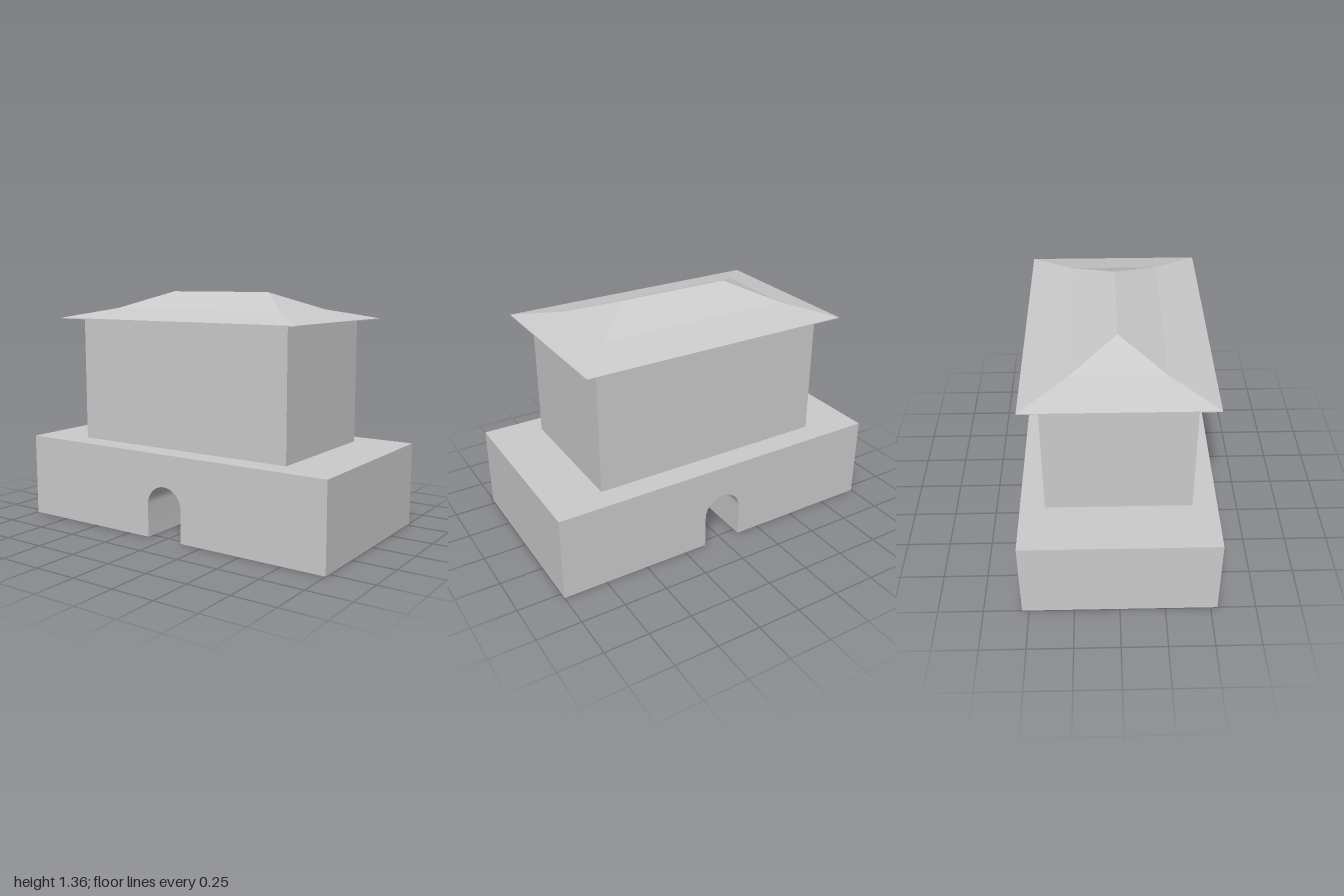
import * as THREE from 'three';
import { toCreasedNormals } from 'three/addons/utils/BufferGeometryUtils.js';

const grey = new THREE.MeshStandardMaterial({ color: 0xcccccc });

function addMesh(group, name, geometry) {
  const mesh = new THREE.Mesh(geometry, grey);
  mesh.name = name;
  group.add(mesh);
  return mesh;
}

// Podium block pierced front to back by a round-arched passage
function podiumGeometry() {
  const halfW = 1, height = 0.485, depth = 1.076, r = 0.114, spring = 0.188;
  const s = new THREE.Shape();
  s.moveTo(-halfW, 0);
  s.lineTo(-r, 0);
  s.lineTo(-r, spring);
  s.absarc(0, spring, r, Math.PI, 0, true);
  s.lineTo(r, 0);
  s.lineTo(halfW, 0);
  s.lineTo(halfW, height);
  s.lineTo(-halfW, height);
  s.closePath();
  const g = new THREE.ExtrudeGeometry(s, { depth, bevelEnabled: false, curveSegments: 16 });
  g.translate(0, 0, -depth / 2);
  return toCreasedNormals(g, 0.5);
}

// Flared hip roof: rectangular rings from the eaves up to the ridge
function roofGeometry() {
  const rings = [ // half width, height, half depth
    [0.787, 1.205, 0.5],
    [0.787, 1.21, 0.5],
    [0.56, 1.265, 0.25],
    [0.33, 1.363, 0],
  ];
  const corners = rings.map(([x, y, z]) => [[x, y, z], [x, y, -z], [-x, y, -z], [-x, y, z]]);
  const pos = [];
  const quad = (a, b, c, d) => pos.push(...a, ...b, ...c, ...a, ...c, ...d);
  const tri = (a, b, c) => pos.push(...a, ...b, ...c);
  for (let i = 0; i < rings.length - 1; i++) {
    for (let k = 0; k < 4; k++) {
      const n = (k + 1) % 4, lo = corners[i], hi = corners[i + 1];
      // The end slopes close to a point at the ridge
      if (rings[i + 1][2] === 0 && k % 2 === 0) tri(lo[k], lo[n], hi[n]);
      else quad(lo[k], lo[n], hi[n], hi[k]);
    }
  }
  const [a, b, c, d] = corners[0];
  quad(d, c, b, a); // soffit
  const g = new THREE.BufferGeometry();
  g.setAttribute('position', new THREE.Float32BufferAttribute(pos, 3));
  g.computeVertexNormals();
  return g;
}

export function createModel() {
  const gatehouse = new THREE.Group();
  gatehouse.name = 'gatehouse';

  addMesh(gatehouse, 'podium', podiumGeometry());

  // Plain hall on top of the podium
  const hall = addMesh(gatehouse, 'hall', new THREE.BoxGeometry(1.386, 0.72, 0.804));
  hall.position.y = 0.485 + 0.36;

  addMesh(gatehouse, 'roof', roofGeometry());
  return gatehouse;
}
